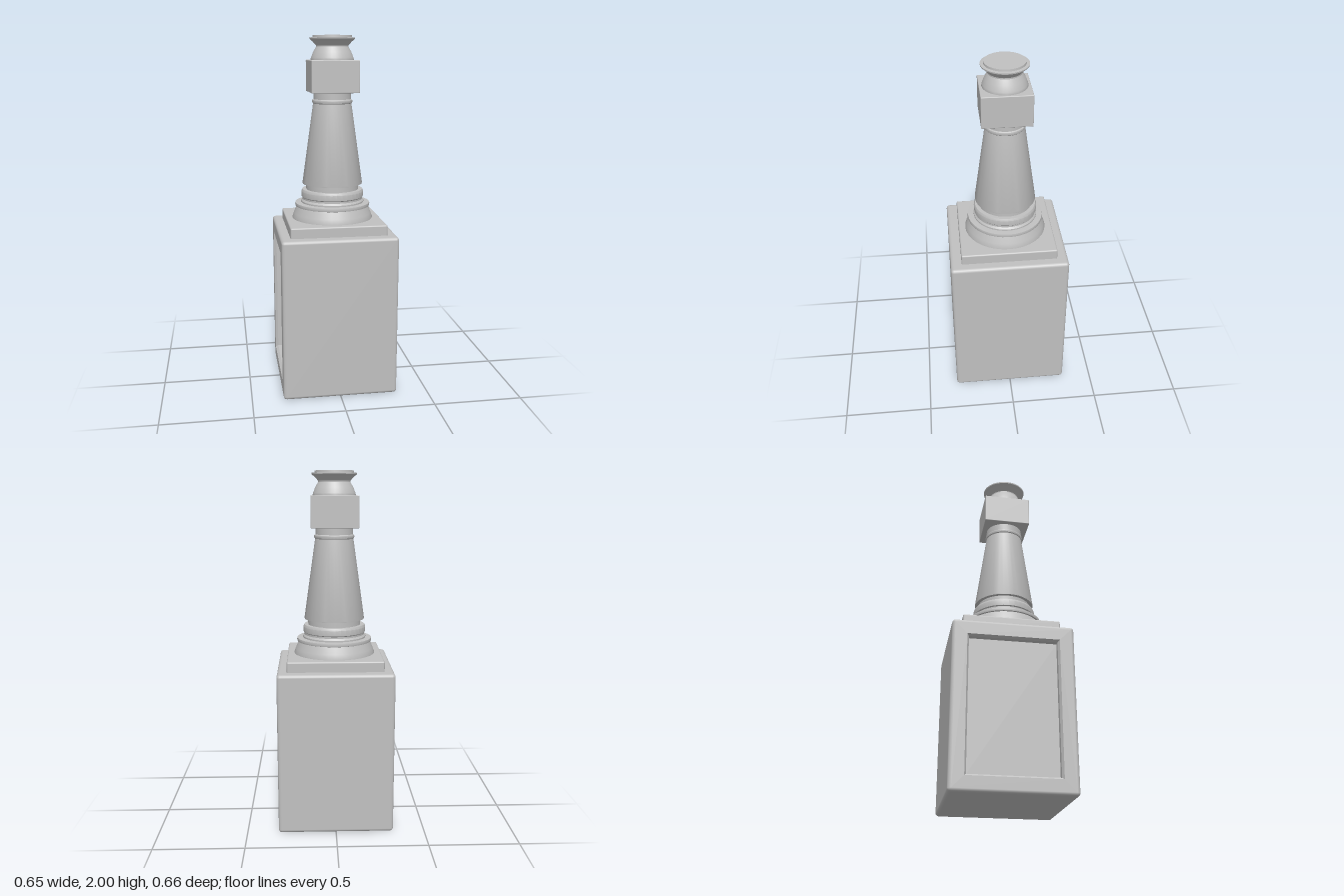
import * as THREE from 'three';
import { toCreasedNormals } from 'three/addons/utils/BufferGeometryUtils.js';
import { RoundedBoxGeometry } from 'three/addons/geometries/RoundedBoxGeometry.js';

const stone = new THREE.MeshStandardMaterial({ color: 0xc0c0c0 });
stone.name = 'grey stone';

function part(name, geometry, parent, y = 0) {
  const mesh = new THREE.Mesh(geometry, stone);
  mesh.name = name;
  mesh.position.y = y;
  parent.add(mesh);
  return mesh;
}

// Softly bevelled block standing between two heights
function block(name, w, d, y0, y1, radius, parent) {
  return part(name, new RoundedBoxGeometry(w, y1 - y0, d, 2, radius), parent, (y0 + y1) / 2);
}

// Turned part from [radius, height] pairs, listed upwards
function turned(name, profile, parent) {
  const points = profile.map(([r, y]) => new THREE.Vector2(r, y));
  return part(name, toCreasedNormals(new THREE.LatheGeometry(points, 36), 0.5), parent);
}

// Leaves out the flat face on the -x side of a block
function openLeftFace(geometry, x) {
  const p = geometry.attributes.position, n = geometry.attributes.normal;
  const pos = [], nor = [];
  for (let i = 0; i < p.count; i += 3) {
    if ([0, 1, 2].every((k) => p.getX(i + k) < x + 1e-4)) continue;
    for (let k = i; k < i + 3; k++) {
      pos.push(p.getX(k), p.getY(k), p.getZ(k));
      nor.push(n.getX(k), n.getY(k), n.getZ(k));
    }
  }
  const out = new THREE.BufferGeometry();
  out.setAttribute('position', new THREE.Float32BufferAttribute(pos, 3));
  out.setAttribute('normal', new THREE.Float32BufferAttribute(nor, 3));
  return out;
}

// Corners of a rectangle, counter-clockwise
const rect = (w, h) => [[-w, -h], [w, -h], [w, h], [-w, h]];

export function createModel() {
  const model = new THREE.Group();
  model.name = 'pedestal column';

  // Pedestal, with a sunken panel on its -x side
  const W = 0.648, H = 0.918, D = 0.662, R = 0.018;
  const pedestal = new THREE.Group();
  pedestal.name = 'pedestal';
  pedestal.position.y = H / 2;
  model.add(pedestal);
  part('pedestalBody', openLeftFace(new RoundedBoxGeometry(W, H, D, 2, R), -W / 2), pedestal);

  const panel = new THREE.Group();
  panel.name = 'sunkenPanel';
  panel.position.x = -W / 2;
  panel.rotation.y = -Math.PI / 2;
  pedestal.add(panel);

  // Flat frame around the opening
  const pw = 0.25, ph = 0.378;
  const toPoints = (corners) => corners.map(([x, y]) => new THREE.Vector2(x, y));
  const frame = new THREE.Shape(toPoints(rect(D / 2 - R, H / 2 - R)));
  frame.holes.push(new THREE.Path(toPoints(rect(pw, ph))));
  part('panelFrame', new THREE.ShapeGeometry(frame), panel);

  // Moulded walls: [inset, depth] steps going in
  const steps = [[0, 0], [0.01, 0.015], [0.01, 0.042]];
  const walls = [];
  for (let s = 0; s < steps.length - 1; s++) {
    const ring = ([inset, depth]) => rect(pw - inset, ph - inset).map(([x, y]) => [x, y, -depth]);
    const outer = ring(steps[s]), inner = ring(steps[s + 1]);
    for (let i = 0; i < 4; i++) {
      const j = (i + 1) % 4;
      walls.push(...outer[i], ...outer[j], ...inner[j], ...outer[i], ...inner[j], ...inner[i]);
    }
  }
  const wallGeometry = new THREE.BufferGeometry();
  wallGeometry.setAttribute('position', new THREE.Float32BufferAttribute(walls, 3));
  wallGeometry.computeVertexNormals();
  part('panelWalls', wallGeometry, panel);
  part('panelFloor', new THREE.PlaneGeometry(2 * pw - 0.02, 2 * ph - 0.02), panel).position.z = -0.042;

  // Square step on the pedestal
  block('plinth', 0.538, 0.538, 0.9, 0.976, 0.008, model);

  // Flared foot, rim and collar
  turned('columnFoot', [
    [0, 0.97], [0.231, 0.97], [0.231, 0.98], [0.222, 1.005], [0.21, 1.035], [0.206, 1.045],
    [0.213, 1.047], [0.215, 1.055], [0.213, 1.065], [0.18, 1.067], [0.18, 1.075], [0.172, 1.085],
    [0.172, 1.095], [0.177, 1.1], [0.178, 1.13], [0.172, 1.142], [0.15, 1.142], [0.15, 1.18],
  ], model);

  // Tapered shaft with a ring and neck
  turned('shaft', [
    [0.145, 1.174], [0.17, 1.174], [0.171, 1.18], [0.108, 1.628], [0.112, 1.632], [0.114, 1.64],
    [0.112, 1.648], [0.106, 1.652], [0.106, 1.7],
  ], model);

  block('squareBlock', 0.265, 0.27, 1.69, 1.866, 0.004, model);

  // Waisted finial with a flat top
  turned('finial', [
    [0.12, 1.86], [0.121, 1.868], [0.118, 1.88], [0.106, 1.91], [0.09, 1.938], [0.09, 1.945],
    [0.108, 1.965], [0.126, 1.98], [0.127, 1.987], [0.11, 1.989], [0.109, 2], [0, 2],
  ], model);

  return model;
}
